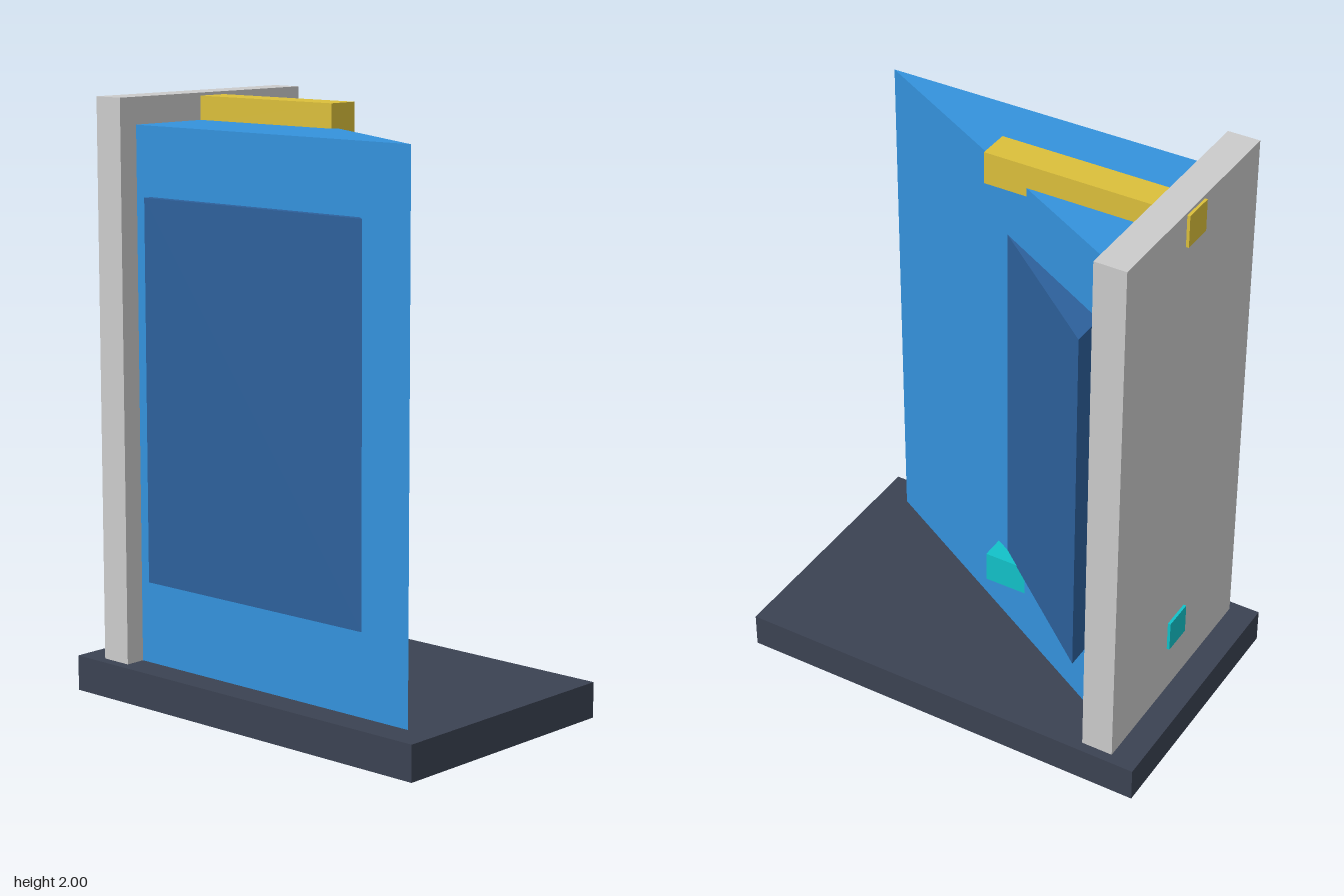
import * as THREE from 'three';

export function createModel() {
  const group = new THREE.Group();

  function add(name, geometry, color) {
    const mesh = new THREE.Mesh(
      geometry,
      new THREE.MeshStandardMaterial({ color, flatShading: true })
    );
    mesh.name = name;
    group.add(mesh);
  }

  // Box given by its extents along each axis
  function box(name, color, [x0, x1], [y0, y1], [z0, z1]) {
    const geometry = new THREE.BoxGeometry(x1 - x0, y1 - y0, z1 - z0);
    geometry.translate((x0 + x1) / 2, (y0 + y1) / 2, (z0 + z1) / 2);
    add(name, geometry, color);
  }

  // Upright right-angled wedge: square corner at (x0, z1), slope facing back and left
  function wedge(name, color, [x0, x1], [y0, y1], [z0, z1]) {
    const shape = new THREE.Shape([
      new THREE.Vector2(x0, -z1),
      new THREE.Vector2(x1, -z1),
      new THREE.Vector2(x0, -z0),
    ]);
    const geometry = new THREE.ExtrudeGeometry(shape, { depth: y1 - y0, bevelEnabled: false });
    geometry.rotateX(-Math.PI / 2);
    geometry.translate(0, y0, 0);
    add(name, geometry, color);
  }

  // Base and upright side panel
  box('base', 0x3b4252, [-0.74, 0.74], [0, 0.12], [-0.455, 0.455]);
  box('sidePanel', 0xd9dadb, [-0.645, -0.535], [0.12, 2], [-0.42, 0.42]);

  // Wedge body with a darker wedge standing slightly proud of it
  wedge('body', 0x3492dc, [-0.535, 0.635], [0.12, 1.91], [-0.295, 0.35]);
  wedge('innerPanel', 0x2d609b, [-0.47, 0.47], [0.405, 1.68], [-0.38, 0.38]);

  // Bars running through the side panel and body
  box('upperBar', 0xdbbf3b, [-0.655, 0.05], [1.88, 1.99], [-0.055, 0.055]);
  box('lowerBar', 0x12c2c9, [-0.655, 0.05], [0.3, 0.41], [-0.055, 0.055]);

  return group;
}
